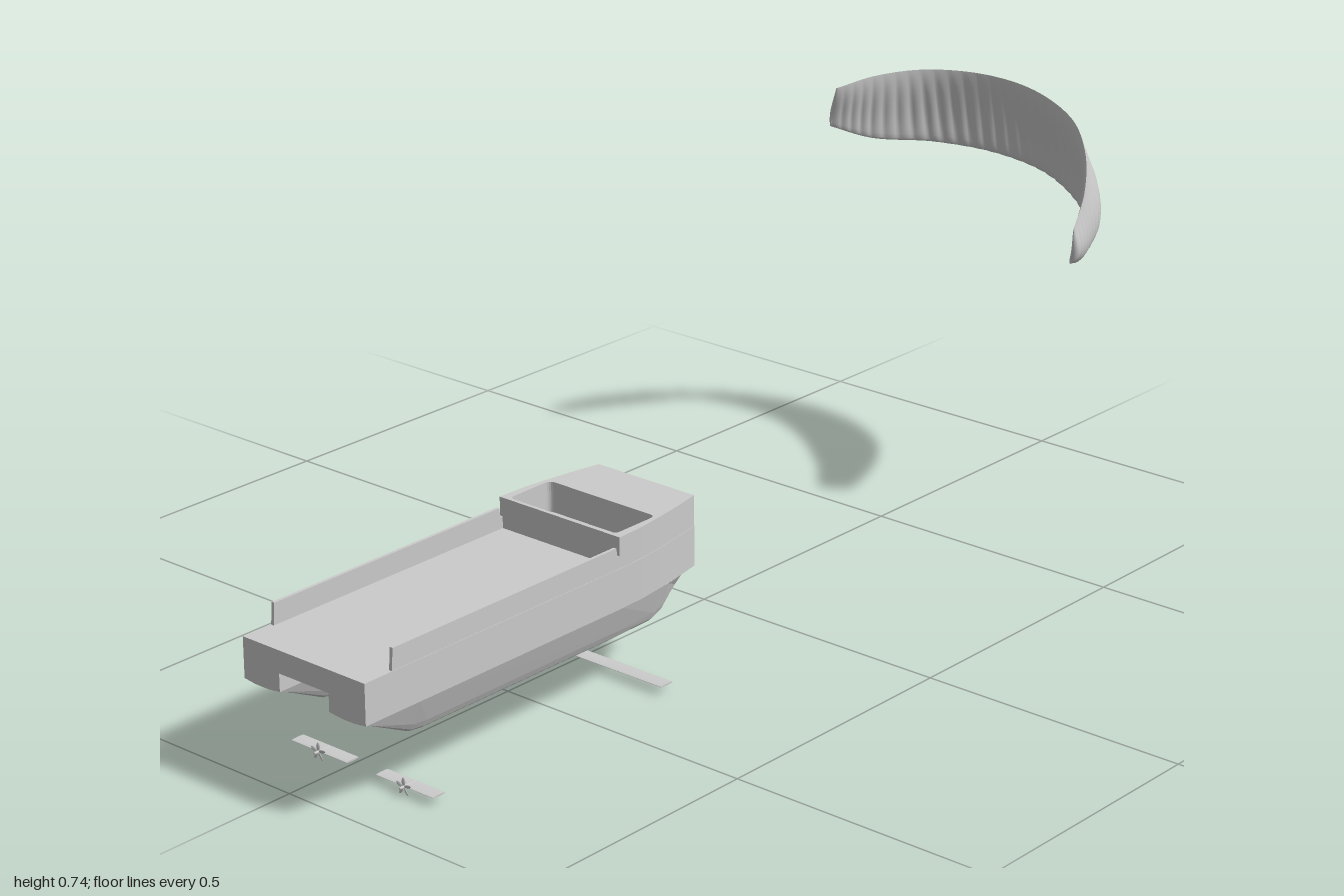
import * as THREE from 'three';

const mat = new THREE.MeshStandardMaterial({ color: 0xcccccc });
const flatMat = new THREE.MeshStandardMaterial({ color: 0xcccccc, flatShading: true });
const ZC = 0.043;      // centreline of the vessel
const HULL = 0.095;    // hull offset from the centreline
const BOW = [[-0.41, 0.135], [-0.36, 0.133], [-0.31, 0.127], [-0.25, 0.118], [-0.2, 0.108]]; // x, half beam

function add(parent, name, geometry, material = mat) {
  const mesh = new THREE.Mesh(geometry, material);
  mesh.name = name;
  parent.add(mesh);
  return mesh;
}

// Plan outline in x and z, raised from y0 to y1
function prism(points, y0, y1, hole) {
  const shape = new THREE.Shape(points.map(([x, z]) => new THREE.Vector2(x, -z)));
  if (hole) shape.holes.push(hole);
  return new THREE.ExtrudeGeometry(shape, { depth: y1 - y0, bevelEnabled: false, curveSegments: 5 })
    .rotateX(-Math.PI / 2).translate(0, y0, 0);
}

// Symmetric plan: stern at xStern, then the curved bow
function plan(xStern, inset = 0) {
  const side = [[xStern, 0.135 - inset], ...BOW.map(([x, w]) => [x, w - inset])];
  return [...side, ...side.map(([x, w]) => [x, -w]).reverse()];
}

// Skin over a row of cross-sections
function loft(rings) {
  const n = rings[0].length, pos = [], index = [];
  rings.forEach(ring => ring.forEach(p => pos.push(p.x, p.y, p.z)));
  for (let i = 0; i < rings.length - 1; i++) {
    for (let j = 0; j < n - 1; j++) {
      const a = i * n + j, b = a + n;
      index.push(a, b, a + 1, b, b + 1, a + 1);
    }
  }
  const g = new THREE.BufferGeometry();
  g.setAttribute('position', new THREE.Float32BufferAttribute(pos, 3));
  g.setIndex(index);
  g.computeVertexNormals();
  return g;
}

// Tapered underwater body with a rounded keel: x, half width, depth
function lowerHull() {
  const stations = [[-1, 0, 0], [-1, 0.039, 0.003], [-0.88, 0.039, 0.063], [-0.85, 0.039, 0.067], [-0.41, 0.039, 0.068],
    [-0.31, 0.032, 0.067], [-0.285, 0.029, 0.058], [-0.25, 0.023, 0.025], [-0.225, 0.018, 0.005], [-0.2, 0.013, 0.001]];
  const half = [[1, 0], [0.56, 0.72], [0.42, 0.89], [0.24, 0.97], [0, 1]];
  const section = [...half.map(([u, d]) => [-u, d]), ...half.slice(0, -1).reverse()];
  return loft(stations.map(([x, w, depth]) =>
    section.map(([u, d]) => new THREE.Vector3(x, 0.175 - depth * d, u * w))));
}

// Ribbed, inflated wing between a thin upper edge and a rounded lower edge
function kiteGeometry() {
  const curve = pts => new THREE.CatmullRomCurve3(pts.map(p => new THREE.Vector3(...p)));
  const top = curve([[0.67, 0.735, -0.255], [0.76, 0.744, -0.232], [0.85, 0.746, -0.18], [0.915, 0.738, -0.09],
    [0.94, 0.72, 0], [0.92, 0.69, 0.1], [0.86, 0.655, 0.175], [0.77, 0.613, 0.24], [0.68, 0.578, 0.283]]);
  const bottom = curve([[0.69, 0.652, -0.284], [0.78, 0.614, -0.255], [0.89, 0.594, -0.19], [0.96, 0.574, -0.1],
    [0.985, 0.549, 0], [0.955, 0.516, 0.1], [0.88, 0.49, 0.175], [0.77, 0.481, 0.225], [0.69, 0.505, 0.27]]);
  const cells = 34, steps = cells * 6, m = 14, rings = [];
  for (let i = 0; i <= steps; i++) {
    const u = i / steps, T = top.getPoint(u), B = bottom.getPoint(u);
    const chord = T.clone().sub(B);
    const span = top.getTangent(u).add(bottom.getTangent(u));
    const out = chord.clone().cross(span).normalize();
    const full = Math.sqrt(Math.max(0, 1 - Math.pow(Math.abs(2 * u - 1), 4)));
    const thick = 0.008 + 0.02 * full;
    const rib = 0.78 + 0.32 * Math.abs(Math.sin(Math.PI * cells * u));
    const ring = [];
    for (let j = 0; j <= 2 * m; j++) {
      const s = (1 + Math.cos(Math.PI * j / m)) / 2;
      const t = 5 * thick * rib * (0.2969 * Math.sqrt(s) - 0.126 * s - 0.3516 * s * s + 0.2843 * s ** 3 - 0.1036 * s ** 4);
      const camber = 0.045 * s * (1 - s) * (1 - s) * (0.4 + 0.6 * full) * 1.6;
      ring.push(B.clone().addScaledVector(chord, s).addScaledVector(out, camber + (j <= m ? t : -t)));
    }
    rings.push(ring);
  }
  // close both tips
  const cap = ring => {
    const c = ring.reduce((sum, p) => sum.add(p), new THREE.Vector3()).divideScalar(ring.length);
    return ring.map(() => c);
  };
  return loft([cap(rings[0]), ...rings, cap(rings[steps])]);
}

function foil(parent, name, x, z, length, chord) {
  const g = new THREE.CylinderGeometry(chord / 2, chord / 2, length, 20).rotateX(Math.PI / 2).scale(1, 0.11, 1);
  add(parent, name, g).position.set(x, 0.0165, z);
}

function propeller(z) {
  const group = new THREE.Group();
  group.name = 'propeller';
  add(group, 'hub', new THREE.CapsuleGeometry(0.0025, 0.03, 4, 10).rotateZ(Math.PI / 2)).position.x = 0.008;
  for (let k = 0; k < 5; k++) {
    const blade = new THREE.SphereGeometry(1, 10, 8).scale(0.0012, 0.0075, 0.0033)
      .rotateY(0.35).translate(0, 0.0092, 0).rotateX(k * Math.PI * 2 / 5);
    add(group, 'blade', blade);
  }
  group.position.set(-0.885, 0.0165, z);
  return group;
}

export function createModel() {
  const model = new THREE.Group();
  model.name = 'kiteCatamaran';
  const boat = new THREE.Group();
  boat.name = 'vessel';
  boat.position.z = ZC;
  model.add(boat);

  // Twin hulls
  const hullSide = [[-1, 0.04], ...BOW.map(([x, w]) => [x, w - HULL])];
  const hullPlan = [...hullSide, ...hullSide.map(([x, w]) => [x, -w]).reverse()];
  for (const s of [1, -1]) {
    const hull = new THREE.Group();
    hull.name = s > 0 ? 'leftHull' : 'rightHull';
    hull.position.z = s * HULL;
    add(hull, 'upperHull', prism(hullPlan, 0.175, 0.207));
    add(hull, 'lowerHull', lowerHull(), flatMat);
    boat.add(hull);

    // Side walls along the deck, with a low step next to the wheelhouse
    const wall = [[-0.94, 0.247], [-0.937, 0.285], [-0.424, 0.285], [-0.421, 0.268], [-0.41, 0.268], [-0.41, 0.247]];
    const wallShape = new THREE.Shape(wall.map(p => new THREE.Vector2(...p)));
    add(boat, 'bulwark', new THREE.ExtrudeGeometry(wallShape, { depth: 0.006, bevelEnabled: false }))
      .position.z = s > 0 ? 0.128 : -0.134;
  }

  // Bridge deck over the tunnel
  add(boat, 'deck', prism(plan(-1), 0.207, 0.247));

  // Raised bow block with an open well behind the foredeck
  const [x0, x1, h, r] = [-0.409, -0.31, 0.118, 0.012];
  const well = new THREE.Path();
  well.moveTo(x0 + r, -h).lineTo(x1 - r, -h).quadraticCurveTo(x1, -h, x1, -h + r)
    .lineTo(x1, h - r).quadraticCurveTo(x1, h, x1 - r, h)
    .lineTo(x0 + r, h).quadraticCurveTo(x0, h, x0, h - r)
    .lineTo(x0, -h + r).quadraticCurveTo(x0, -h, x0 + r, -h);
  add(boat, 'bowBlock', prism(plan(-0.416, 0.001), 0.247, 0.302, well));

  // Submerged foils and propellers
  foil(boat, 'frontFoil', -0.33, 0, 0.318, 0.03);
  for (const s of [1, -1]) {
    foil(boat, 'rearFoil', -0.87, s * 0.096, 0.126, 0.028);
    boat.add(propeller(s * 0.096));
  }

  // Towing kite
  add(model, 'kite', kiteGeometry(), new THREE.MeshStandardMaterial({ color: 0xcccccc, side: THREE.DoubleSide }));
  return model;
}
